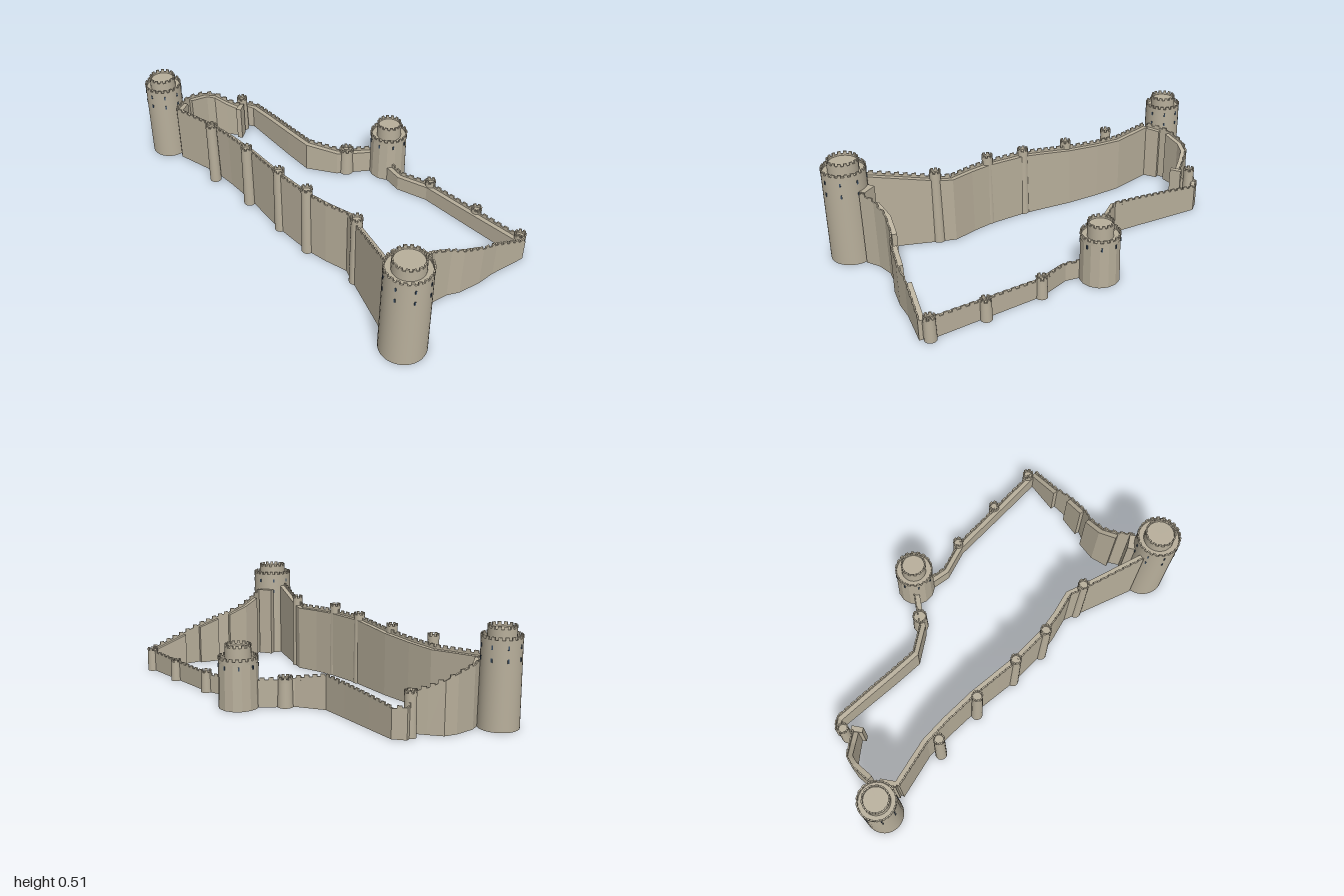
import * as THREE from 'three';
import { mergeGeometries } from 'three/addons/utils/BufferGeometryUtils.js';

const stone = new THREE.MeshStandardMaterial({ color: 0xb8af9b });
stone.name = 'pale stone';
const slate = new THREE.MeshStandardMaterial({ color: 0x3f5266 });
slate.name = 'window slate';

function part(geometry, material, name) {
  const mesh = new THREE.Mesh(geometry, material);
  mesh.name = name;
  return mesh;
}

// Box placed at a point and turned about y
function turnedBox(w, h, d, x, y, z, angle) {
  return new THREE.BoxGeometry(w, h, d).rotateY(angle).translate(x, y, z);
}

// Solid ribbon along [x, z, height] points, between two offsets from the path
function ribbon(points, inner, outer, drop = 0) {
  const sections = points.map(([x, z, h], i) => {
    const a = points[Math.max(0, i - 1)];
    const b = points[Math.min(points.length - 1, i + 1)];
    const length = Math.hypot(b[0] - a[0], b[1] - a[1]);
    const nx = -(b[1] - a[1]) / length, nz = (b[0] - a[0]) / length;
    const corner = (o, y) => [x + nx * o, y, z + nz * o];
    return [corner(outer, 0), corner(outer, h - drop), corner(inner, h - drop), corner(inner, 0)];
  });
  const verts = [];
  const quad = (a, b, c, d) => verts.push(...a, ...b, ...c, ...a, ...c, ...d);
  for (let i = 0; i < sections.length - 1; i++) {
    const s = sections[i], t = sections[i + 1];
    for (let k = 0; k < 4; k++) quad(s[k], t[k], t[(k + 1) % 4], s[(k + 1) % 4]);
  }
  quad(...sections[0]);
  quad(...sections[sections.length - 1].slice().reverse());
  const geometry = new THREE.BufferGeometry();
  geometry.setAttribute('position', new THREE.Float32BufferAttribute(verts, 3));
  geometry.computeVertexNormals();
  return geometry;
}

// Battlement blocks following the outer edge of a wall
function wallMerlons(points) {
  const blocks = [];
  for (let i = 0; i < points.length - 1; i++) {
    const [x, z, h] = points[i], [x2, z2, h2] = points[i + 1];
    const dx = x2 - x, dz = z2 - z, length = Math.hypot(dx, dz);
    const count = Math.max(1, Math.round(length / 0.04));
    for (let k = 0; k < count; k++) {
      const t = (k + 0.5) / count;
      blocks.push(turnedBox(0.022, 0.022, 0.007,
        x + dx * t - (dz / length) * 0.0115, h + (h2 - h) * t,
        z + dz * t + (dx / length) * 0.0115, Math.atan2(-dz, dx)));
    }
  }
  return mergeGeometries(blocks);
}

// Wall: a thin outer parapet all along, a thick walkway only over the given ranges
function wall(name, points, ranges = [[0, points.length - 1]]) {
  const group = new THREE.Group();
  group.name = name;
  group.add(part(ribbon(points, 0.008, 0.015), stone, 'parapet'));
  for (const [a, b] of ranges)
    group.add(part(ribbon(points.slice(a, b + 1), -0.015, 0.008, 0.01), stone, 'walkway'));
  group.add(part(wallMerlons(points), stone, 'wallMerlons'));
  return group;
}

// Drum with a sunken floor and a crenellated rim
function drum(y0, top, rBottom, rTop, sides, merlon, flare = 0.001) {
  const group = new THREE.Group();
  group.name = 'drum';
  const tall = merlon * 0.85, floor = top - tall - 0.008, r = rTop + flare;
  const body = new THREE.CylinderGeometry(rTop, rBottom, floor - y0, sides);
  let drumGeometry = body.translate(0, (floor + y0) / 2, 0);
  if (sides < 16) {
    drumGeometry = drumGeometry.toNonIndexed();
    drumGeometry.computeVertexNormals();
  }
  group.add(part(drumGeometry, stone, 'drumBody'));

  const w = 0.007, low = floor - 0.008, high = top - tall;
  // Separate faces of the rim keep its edges sharp
  const rim = [[r - w, low], [r, low], [r, high], [r - w, high], [r - w, low]];
  const faces = [];
  for (let i = 0; i < 4; i++)
    faces.push(new THREE.LatheGeometry([rim[i], rim[i + 1]].map(p => new THREE.Vector2(...p)), 32));
  group.add(part(mergeGeometries(faces), stone, 'rim'));

  const count = Math.max(6, Math.round((Math.PI * 2 * r) / (merlon * 2)));
  const blocks = [];
  for (let i = 0; i < count; i++) {
    const a = ((i + 0.5) / count) * Math.PI * 2, m = r - w / 2;
    blocks.push(turnedBox((Math.PI * r) / count * 1.05, tall + 0.002, w,
      Math.sin(a) * m, top - tall / 2 - 0.001, Math.cos(a) * m, a));
  }
  group.add(part(mergeGeometries(blocks), stone, 'merlons'));
  return group;
}

// Great tower: wide drum, narrower upper drum, rings of slit windows
function tower(name, x, z, r, h, rUpper, hUpper, sides, rows) {
  const group = new THREE.Group();
  group.name = name;
  group.position.set(x, 0, z);
  group.add(drum(0, h, r, r * 0.965, sides, 0.015));
  group.add(drum(h - 0.04, hUpper, rUpper, rUpper, 32, 0.014, 0));
  const slits = [];
  for (const y of rows)
    for (let i = 0; i < 8; i++) {
      const a = 0.21 + (i * Math.PI) / 4, d = r * (1 - 0.035 * y / h) - 0.001;
      slits.push(turnedBox(0.007, 0.018, 0.006, Math.sin(a) * d, y, Math.cos(a) * d, a));
    }
  group.add(part(mergeGeometries(slits), slate, 'windows'));
  return group;
}

export function createModel() {
  const model = new THREE.Group();
  model.name = 'castleWalls';

  // Great towers
  model.add(
    tower('frontTower', -0.415, 0.89, 0.106, 0.47, 0.072, 0.51, 40, [0.36, 0.42]),
    tower('backTower', -0.267, -0.907, 0.092, 0.41, 0.063, 0.45, 40, [0.31, 0.365]),
    tower('sideTower', 0.42, 0.05, 0.095, 0.245, 0.061, 0.30, 14, [0.2]));

  // Small wall turrets: x, z, radius, height
  const turrets = [
    [-0.273, -0.515, 0.027, 0.345], [-0.27, -0.25, 0.027, 0.35], [-0.289, 0, 0.027, 0.365],
    [-0.302, 0.2, 0.027, 0.38], [-0.288, 0.495, 0.027, 0.385], [0.387, 0.9, 0.027, 0.122],
    [0.4, 0.64, 0.026, 0.11], [0.4, 0.355, 0.026, 0.112], [0.257, -0.09, 0.036, 0.147],
    [0.125, -0.76, 0.027, 0.205],
  ];
  for (const [x, z, r, h] of turrets) {
    const turret = drum(0, h, r * 1.06, r * 0.96, 20, 0.013);
    turret.name = 'wallTurret';
    turret.position.set(x, 0, z);
    model.add(turret);
  }

  // Curtain walls, walked with the outside on one hand: x, z, height
  model.add(wall('rightWall', [
    [-0.267, -0.79, 0.3], [-0.245, -0.67, 0.298], [-0.225, -0.56, 0.295], [-0.228, -0.42, 0.303],
    [-0.242, -0.25, 0.315], [-0.265, -0.11, 0.328], [-0.283, 0, 0.337], [-0.292, 0.2, 0.34],
    [-0.28, 0.31, 0.34], [-0.257, 0.425, 0.34], [-0.287, 0.495, 0.345], [-0.41, 0.785, 0.4]]));
  model.add(wall('frontWall', [
    [-0.31, 0.86, 0.368], [-0.24, 0.823, 0.343], [-0.155, 0.808, 0.308], [-0.06, 0.828, 0.268],
    [-0.005, 0.858, 0.247], [0.1, 0.883, 0.21], [0.19, 0.89, 0.177], [0.37, 0.928, 0.108]],
    [[1, 3], [4, 5], [6, 7]]));
  model.add(wall('leftWall', [
    [0.372, 0.925, 0.1], [0.378, 0.64, 0.093], [0.385, 0.355, 0.088], [0.345, 0.2, 0.087],
    [0.365, 0.11, 0.087]]));
  model.add(wall('backLeftWall', [
    [0.355, -0.01, 0.13], [0.257, -0.085, 0.132], [0.215, -0.115, 0.138], [0.135, -0.25, 0.162],
    [0.15, -0.4, 0.155], [0.172, -0.58, 0.145], [0.19, -0.73, 0.132], [0.16, -0.77, 0.14],
    [0.125, -0.755, 0.15]]));
  model.add(wall('backWall', [
    [0.08, -0.72, 0.18], [0.04, -0.78, 0.205], [0, -0.835, 0.24], [-0.05, -0.85, 0.262],
    [-0.15, -0.85, 0.283], [-0.195, -0.832, 0.288], [-0.265, -0.79, 0.298]],
    [[0, 4], [5, 6]]));

  // Gate stubs: thick end beside the back gate, and a link by the front tower
  model.add(part(ribbon([[0.05, -0.702, 0.185], [0.098, -0.732, 0.185]], -0.013, 0.013), stone, 'gateEnd'));
  model.add(part(ribbon([[0.098, -0.732, 0.14], [0.125, -0.76, 0.14]], -0.006, 0.006), stone, 'gateLink'));
  model.add(part(ribbon([[-0.34, 0.795, 0.372], [-0.305, 0.86, 0.372]], -0.018, 0.024), stone, 'towerStub'));
  return model;
}
